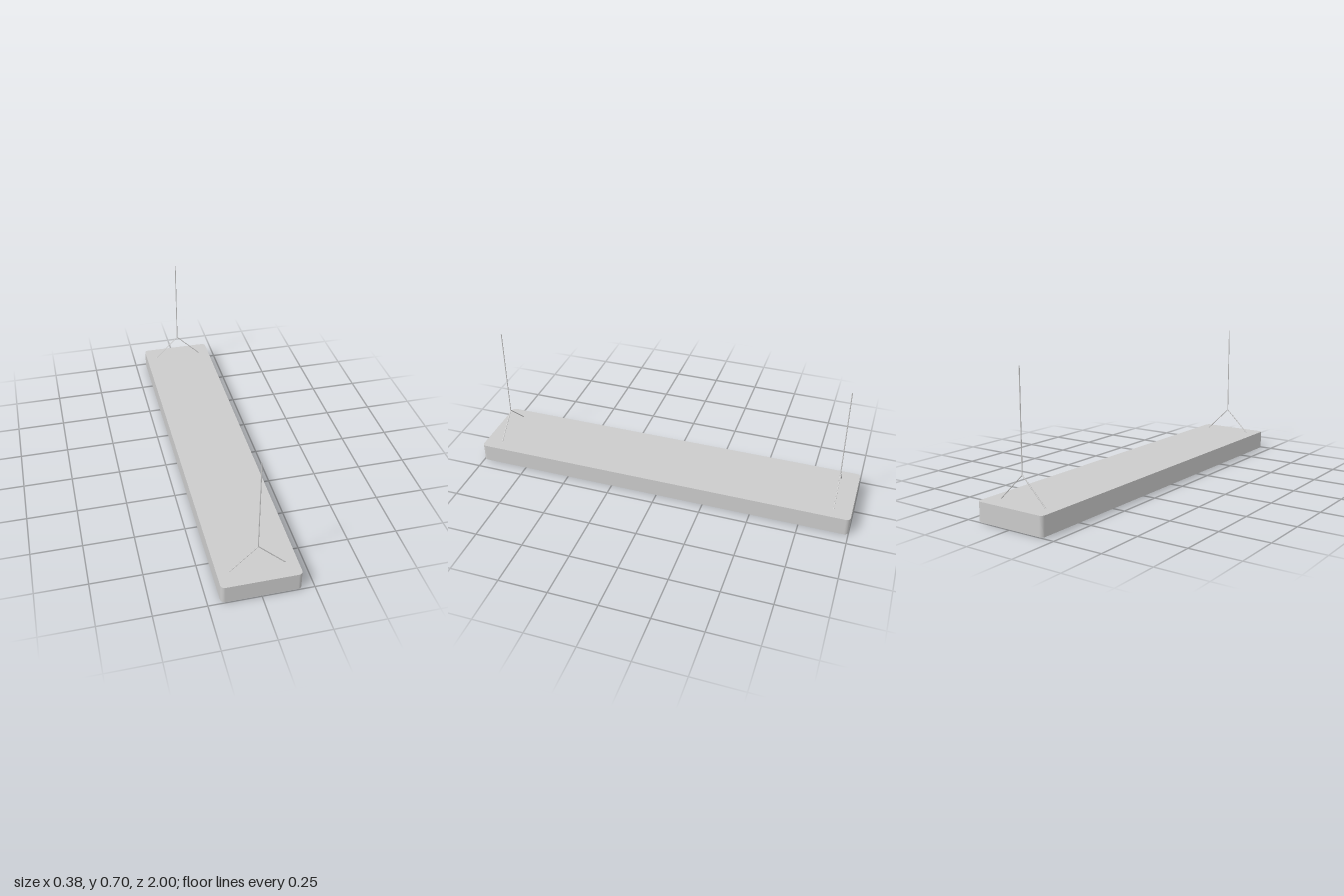
import * as THREE from 'three';

const grey = new THREE.MeshStandardMaterial({ color: 0xcccccc });

// Rounded rectangle centred on (0, cz)
function roundedRect(Type, hx, hz, r, cz = 0) {
  const s = new Type();
  s.moveTo(hx, cz - hz + r);
  s.lineTo(hx, cz + hz - r);
  s.absarc(hx - r, cz + hz - r, r, 0, Math.PI / 2);
  s.absarc(-hx + r, cz + hz - r, r, Math.PI / 2, Math.PI);
  s.absarc(-hx + r, cz - hz + r, r, Math.PI, Math.PI * 1.5);
  s.absarc(hx - r, cz - hz + r, r, Math.PI * 1.5, Math.PI * 2);
  return s;
}

function add(parent, name, geometry, x = 0, y = 0, z = 0) {
  const mesh = new THREE.Mesh(geometry, grey);
  mesh.name = name;
  mesh.position.set(x, y, z);
  parent.add(mesh);
  return mesh;
}

// Horizontal plate between two heights
function plate(shape, y0, y1) {
  return new THREE.ExtrudeGeometry(shape, { depth: y1 - y0, bevelEnabled: false, curveSegments: 8 })
    .rotateX(-Math.PI / 2).translate(0, y0, 0);
}

function wire(parent, name, a, b, radius) {
  const path = new THREE.LineCurve3(new THREE.Vector3(...a), new THREE.Vector3(...b));
  add(parent, name, new THREE.TubeGeometry(path, 1, radius, 8, false));
}

export function createModel() {
  const model = new THREE.Group();
  model.name = 'hangingLamp';
  const halfX = 0.19, innerX = 0.172, radius = 0.02;
  const panelStart = 0.055, panelEnd = 0.96;
  const panelMid = (panelStart + panelEnd) / 2, panelHalf = (panelEnd - panelStart) / 2;

  // Housing: lid and hollow side walls
  add(model, 'housingTop', plate(roundedRect(THREE.Shape, halfX, 1, radius), 0.06, 0.097));
  const walls = roundedRect(THREE.Shape, halfX, 1, radius);
  const frame = roundedRect(THREE.Shape, halfX - 0.004, 0.996, radius - 0.004);
  for (const s of [-1, 1]) {
    walls.holes.push(roundedRect(THREE.Path, innerX, panelHalf, 0.002, s * panelMid));
    frame.holes.push(roundedRect(THREE.Path, innerX, panelHalf, 0.002, s * panelMid));
  }
  add(model, 'housingWalls', plate(walls, 0.005, 0.06));
  add(model, 'bottomFrame', plate(frame, 0, 0.005));

  // Two louvre grids, recessed above the frame
  for (const s of [-1, 1]) {
    const louvre = new THREE.Group();
    louvre.name = s > 0 ? 'frontLouvre' : 'backLouvre';
    louvre.position.z = s * panelMid;
    model.add(louvre);
    const crossCount = 11, longCount = 4;
    for (let i = 1; i <= crossCount; i++) {
      const z = -panelHalf + (i * 2 * panelHalf) / (crossCount + 1);
      add(louvre, 'crossBlade', new THREE.BoxGeometry(innerX * 2, 0.018, 0.008), 0, 0.022, z);
    }
    for (let i = 1; i <= longCount; i++) {
      const x = -innerX + (i * 2 * innerX) / (longCount + 1);
      add(louvre, 'longBlade', new THREE.BoxGeometry(0.008, 0.0176, panelHalf * 2), x, 0.022, 0);
    }
  }

  // Suspension wires: one drop and a V at each end
  for (const s of [-1, 1]) {
    const hanger = new THREE.Group();
    hanger.name = s > 0 ? 'frontHanger' : 'backHanger';
    hanger.position.z = s * 0.91;
    model.add(hanger);
    wire(hanger, 'dropWire', [0, 0.224, 0], [0, 0.705, 0], 0.0025);
    for (const side of [-1, 1]) {
      wire(hanger, 'slantedWire', [side * 0.133, 0.095, 0], [0, 0.225, 0], 0.0025);
    }
  }
  return model;
}
